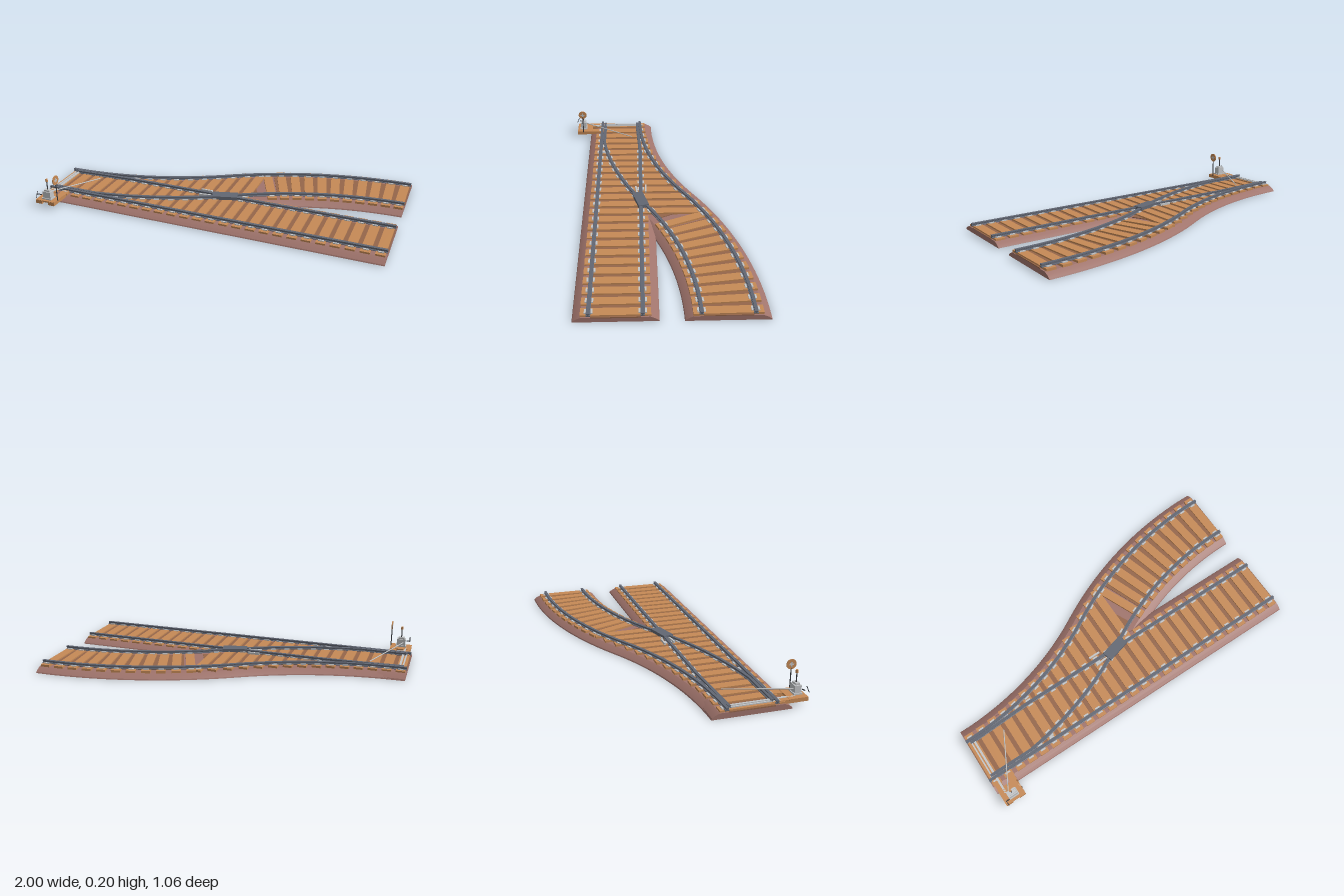
import * as THREE from 'three';
import { mergeGeometries, toCreasedNormals } from 'three/addons/utils/BufferGeometryUtils.js';

const mat = (name, color) => {
  const m = new THREE.MeshStandardMaterial({ color });
  m.name = name;
  return m;
};

// Track layout: straight centre line, and an S-curve made of two equal arcs
const MAIN_Z = 0.22, END_Z = -0.32, HALF_GAUGE = 0.13, R = 1.987;
const straight = (x) => ({ x, z: MAIN_Z, a: 0 });
const diverging = (x) => {
  const a = Math.asin((x < 0 ? x + 1 : 1 - x) / R);
  const d = R * (1 - Math.cos(a));
  return { x, z: x < 0 ? MAIN_Z - d : END_Z + d, a };
};
const shift = (path, off) => (x) => {
  const p = path(x);
  return { x: p.x + off * Math.sin(p.a), z: p.z + off * Math.cos(p.a), a: p.a };
};

// Sweep a profile of [sideways, height] points along a path
function sweep(path, x0, x1, profile, steps) {
  const shape = new THREE.Shape(profile.map((p) => new THREE.Vector2(...p)));
  const geo = new THREE.ExtrudeGeometry(shape, { depth: 1, steps, bevelEnabled: false });
  const pos = geo.attributes.position;
  for (let i = 0; i < pos.count; i++) {
    const p = path(x0 + (x1 - x0) * pos.getZ(i)), s = pos.getX(i);
    pos.setXYZ(i, p.x - s * Math.sin(p.a), pos.getY(i), p.z - s * Math.cos(p.a));
  }
  return toCreasedNormals(geo, 0.35);
}

function box(w, h, d, x, y, z, turn = 0) {
  return new THREE.BoxGeometry(w, h, d).rotateY(turn).translate(x, y, z);
}

// Thin round bar between two points
function bar(a, b, r) {
  const p = new THREE.Vector3(...a), q = new THREE.Vector3(...b);
  return new THREE.TubeGeometry(new THREE.LineCurve3(p, q), 1, r, 8);
}

const mirror = (half) => [...half, ...half.slice().reverse().map(([x, y]) => [-x, y])];

export function createModel() {
  const group = new THREE.Group();
  const ballast = mat('ballast', 0xa0746c);
  const earth = mat('earth', 0x95664a);
  const wood = mat('wood', 0xc68a56);
  const steel = mat('rail steel', 0x626773);
  const pale = mat('pale metal', 0xc4c6c8);
  const dark = mat('dark iron', 0x3c3e44);

  const add = (name, material, ...geos) => {
    const list = geos.map((g) => (g.index ? g.toNonIndexed() : g));
    const mesh = new THREE.Mesh(list.length > 1 ? mergeGeometries(list) : list[0], material);
    mesh.name = name;
    group.add(mesh);
    return mesh;
  };

  // Ballast beds with rounded shoulders
  const bed = (y) => mirror([[0.21, y], [0.207, y + 0.006], [0.19, y + 0.018], [0.168, y + 0.028]]);
  add('mainBallast', ballast, sweep(straight, -1, 1, bed(0.003), 1));
  add('divergingBallast', ballast, sweep(diverging, -1, 1, bed(0), 48));

  // Packed earth between the rails
  const fill = mirror([[0.12, 0.026], [0.12, 0.0325]]);
  add('trackInfill', earth,
    sweep(straight, -1, 1, fill, 1),
    sweep(diverging, -1, 0.13, fill, 24),
    sweep(diverging, 0.24, 1, fill, 20));

  // Rails
  const railProfile = mirror([
    [0.011, 0.038], [0.011, 0.041], [0.004, 0.043], [0.004, 0.048], [0.008, 0.05], [0.008, 0.055],
  ]);
  const curvedPoint = (x) => {
    const p = shift(diverging, HALF_GAUGE)(x);
    return { ...p, z: Math.min(p.z, 0.331) };
  };
  const straightPoint = (x) => ({
    x, a: 0, z: 0.09 + 0.018 * Math.max(0, Math.min(1, (-0.6 - x) / 0.37)),
  });
  add('straightStockRail', steel, sweep(shift(straight, HALF_GAUGE), -1, 1, railProfile, 1));
  add('curvedStockRail', steel, sweep(shift(diverging, -HALF_GAUGE), -1, 1, railProfile, 48));
  add('straightPointRail', steel, sweep(straightPoint, -0.98, 1, railProfile, 20));
  add('curvedPointRail', steel, sweep(curvedPoint, -0.98, 1, railProfile, 48));

  // Crossing block and its short guard rails
  add('crossingBlock', steel, box(0.145, 0.02, 0.062, 0.015, 0.049, 0.092, 0.27));
  add('guardRails', pale,
    box(0.07, 0.012, 0.01, -0.112, 0.046, 0.06),
    box(0.07, 0.012, 0.01, -0.1, 0.046, 0.116, 0.12));

  // Sleepers: long ones across the switch, then one set for each track
  const ties = [], plates = [];
  const plate = (x, z, turn) => {
    for (const s of [-1, 1]) {
      const d = s * 0.016;
      plates.push(box(0.03, 0.006, 0.009, x + d * Math.sin(turn), 0.042, z + d * Math.cos(turn), turn));
    }
  };
  const tieWidth = 0.052, tieHeight = 0.022, tieY = 0.029;
  for (let i = 0; i < 26; i++) {
    const x = -0.968 + i * 0.0774;
    let back = 0.05;
    if (x < 0.18) {
      const p = diverging(x);
      const outer = p.z - HALF_GAUGE / Math.cos(p.a);
      back = outer - 0.035;
      plate(x, outer, p.a);
      if (x > -0.6) plate(x, p.z + HALF_GAUGE / Math.cos(p.a), p.a);
    }
    ties.push(box(tieWidth, tieHeight, 0.39 - back, x, tieY, (0.39 + back) / 2));
    plate(x, 0.35, 0);
    if (x > -0.6) plate(x, 0.09, 0);
  }
  for (let i = 0; i < 11; i++) {
    const a = 0.016 + i * 0.0395;
    const x = 1 - R * Math.sin(a);
    const p = diverging(x);
    // Keep the innermost sleepers clear of the straight track
    ties.push(box(tieWidth, tieHeight, 0.34, p.x, tieY, p.z, a));
    for (const s of [-1, 1]) {
      plate(p.x + s * HALF_GAUGE * Math.sin(a), p.z + s * HALF_GAUGE * Math.cos(a), a);
    }
  }
  add('sleepers', wood, ...ties);
  add('railFastenings', pale, ...plates);

  // Timber platform carrying the switch stand
  add('standPlatform', wood,
    box(0.04, 0.02, 0.19, -0.968, 0.034, 0.425),
    box(0.04, 0.02, 0.19, -0.887, 0.034, 0.425),
    box(0.122, 0.008, 0.1, -0.928, 0.042, 0.468));

  // Switch stand with lever
  add('standBody', pale,
    box(0.06, 0.008, 0.046, -0.927, 0.05, 0.48),
    box(0.05, 0.04, 0.036, -0.927, 0.073, 0.48),
    box(0.036, 0.012, 0.024, -0.927, 0.097, 0.48));
  add('standPost', dark,
    bar([-0.927, 0.1, 0.48], [-0.927, 0.155, 0.48], 0.003),
    bar([-0.955, 0.073, 0.5], [-0.98, 0.076, 0.505], 0.003),
    bar([-0.975, 0.098, 0.512], [-0.975, 0.062, 0.528], 0.002));
  add('postCap', wood, new THREE.CylinderGeometry(0.007, 0.007, 0.016, 12).translate(-0.927, 0.16, 0.48));

  // Round signal target on its own post
  add('targetPost', dark, bar([-0.867, 0.04, 0.48], [-0.867, 0.185, 0.48], 0.003));
  add('targetDisc', wood,
    new THREE.CylinderGeometry(0.027, 0.027, 0.005, 32).rotateZ(Math.PI / 2).translate(-0.867, 0.172, 0.48));
  add('targetCross', pale,
    box(0.007, 0.026, 0.008, -0.867, 0.172, 0.48),
    box(0.007, 0.008, 0.026, -0.867, 0.172, 0.48));

  // Throw bar between the point rails and the rod to the stand
  add('throwBar', pale,
    box(0.012, 0.006, 0.36, -0.957, 0.043, 0.28),
    box(0.008, 0.006, 0.26, -0.975, 0.043, 0.22));
  add('connectingRod', pale, bar([-0.94, 0.074, 0.46], [-0.785, 0.045, 0.145], 0.003));

  return group;
}
